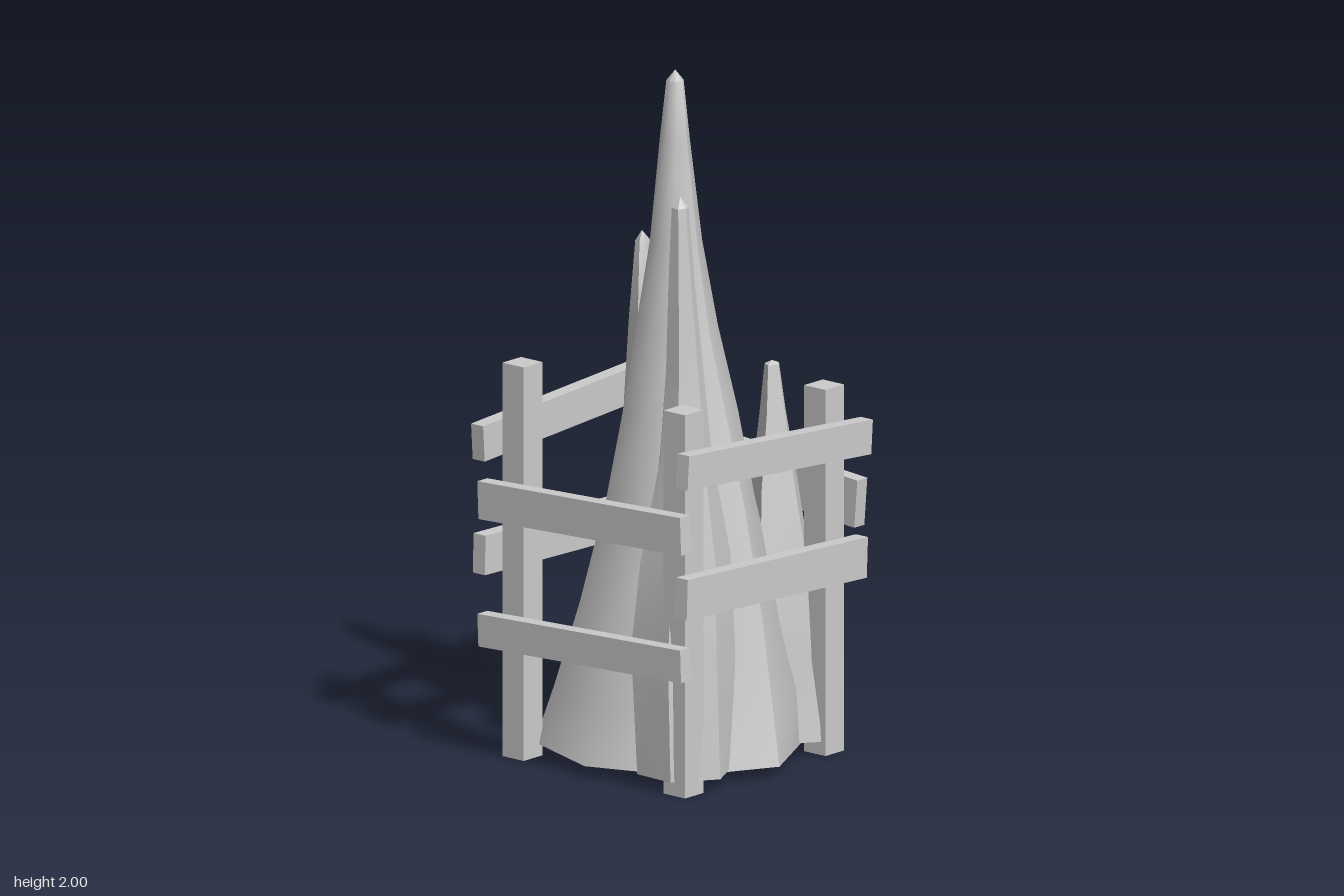
import * as THREE from 'three';
import { toCreasedNormals } from 'three/addons/utils/BufferGeometryUtils.js';

const material = new THREE.MeshStandardMaterial({ color: 0xcccccc });
const shellMaterial = new THREE.MeshStandardMaterial({ color: 0xcccccc, side: THREE.DoubleSide });

// Irregular hollow spire, open below, lofted through rings [y, centreX, centreZ, radius].
// lobes scales the radius of each side, starting at the front and turning to +x;
// jitter adds small seeded unevenness. The last ring closes the tip.
function spire(name, rings, lobes, jitter, seed, crease) {
  const random = () => (seed = (seed * 16807) % 2147483647) / 2147483647;
  const sides = lobes.length;
  const positions = [], index = [];
  for (const [y, cx, cz, r] of rings) {
    lobes.forEach((lobe, j) => {
      const a = ((j + (random() - 0.5) * jitter * 2) / sides) * Math.PI * 2;
      const rr = r * lobe * (1 + (random() - 0.5) * jitter);
      positions.push(cx + Math.sin(a) * rr, y, cz + Math.cos(a) * rr);
    });
  }
  for (let i = 0; i < rings.length - 1; i++) {
    for (let j = 0; j < sides; j++) {
      const a = i * sides + j, b = i * sides + ((j + 1) % sides);
      index.push(a, b, b + sides);
      if (i < rings.length - 2) index.push(a, b + sides, a + sides);
    }
  }
  const geometry = new THREE.BufferGeometry();
  geometry.setAttribute('position', new THREE.Float32BufferAttribute(positions, 3));
  geometry.setIndex(index);
  const mesh = new THREE.Mesh(toCreasedNormals(geometry, crease), shellMaterial);
  mesh.name = name;
  return mesh;
}

function box(name, size, position) {
  const mesh = new THREE.Mesh(new THREE.BoxGeometry(...size), material);
  mesh.name = name;
  mesh.position.set(...position);
  return mesh;
}

export function createModel() {
  const model = new THREE.Group();

  // Tall central spire with a flared foot
  model.add(spire('mainSpire', [
    [0.035, 0, -0.01, 0.388], [0.2, 0, 0, 0.35], [0.45, 0, 0.01, 0.285], [0.75, 0, 0.02, 0.212],
    [1.0, 0, 0.01, 0.165], [1.25, 0, 0, 0.117], [1.5, -0.005, 0, 0.075],
    [1.8, -0.01, 0, 0.043], [1.97, -0.01, 0, 0.025], [2.0, -0.01, 0, 0],
  ], [1.05, 0.97, 1.07, 1.01, 0.93, 1.01, 0.97, 0.97], 0.05, 11, 0.8));

  // Three smaller spires growing round it
  model.add(spire('frontSpire', [
    [0.04, -0.225, 0.225, 0.15], [0.4, -0.218, 0.215, 0.147],
    [0.65, -0.21, 0.205, 0.13], [0.95, -0.198, 0.2, 0.077], [1.2, -0.197, 0.195, 0.053],
    [1.45, -0.2, 0.19, 0.04], [1.67, -0.2, 0.185, 0.024], [1.7, -0.2, 0.185, 0],
  ], [0.95, 1.05, 0.95, 1.05, 1, 1.04], 0.1, 29, 0.5));
  model.add(spire('backSpire', [
    [0.19, 0.19, -0.245, 0.125], [0.5, 0.182, -0.24, 0.118],
    [0.75, 0.166, -0.25, 0.082], [0.98, 0.157, -0.262, 0.057], [1.2, 0.15, -0.265, 0.037],
    [1.42, 0.15, -0.265, 0.02], [1.45, 0.15, -0.265, 0],
  ], [0.92, 1.18, 0.92, 0.98, 1.02], 0.12, 47, 0.5));
  model.add(spire('sideSpire', [
    [0.04, 0.265, 0.175, 0.142], [0.3, 0.255, 0.17, 0.124], [0.52, 0.25, 0.16, 0.115],
    [0.75, 0.253, 0.145, 0.077], [0.98, 0.255, 0.135, 0.043],
    [1.11, 0.255, 0.13, 0.024], [1.12, 0.255, 0.13, 0],
  ], [1, 0.98, 1, 0.88, 1.16], 0.1, 83, 0.5));

  // Corner posts: x, z, height
  const posts = [[0.29, 0.295, 1.07], [-0.31, 0.295, 1.12], [-0.31, -0.31, 1.15], [0.29, -0.31, 1.11]];
  for (const [x, z, h] of posts) model.add(box('post', [0.08, h, 0.08], [x, h / 2, z]));

  // Rails along x: start x, end x, z, height at each end, depth
  const crossRails = [
    ['frontRail', -0.385, 0.4, 0.356, 0.965, 0.91, 0.1],
    ['frontRail', -0.39, 0.38, 0.356, 0.595, 0.562, 0.118],
    ['backRail', -0.42, 0.345, -0.38, 0.925, 0.975, 0.105],
    ['backRail', -0.42, 0.35, -0.375, 0.6, 0.585, 0.115],
  ];
  for (const [name, x0, x1, z, y0, y1, h] of crossRails) {
    const rail = box(name, [Math.hypot(x1 - x0, y1 - y0), h, 0.045], [(x0 + x1) / 2, (y0 + y1) / 2, z]);
    rail.rotation.z = Math.atan2(y1 - y0, x1 - x0);
    model.add(rail);
  }

  // Rails along z: start z, end z, x, height at each end, depth
  const sideRails = [
    ['leftRail', -0.385, 0.38, 0.35, 0.788, 0.728, 0.14],
    ['rightRail', -0.385, 0.375, -0.393, 0.755, 0.785, 0.11],
    ['rightRail', -0.385, 0.375, -0.393, 0.375, 0.405, 0.095],
  ];
  for (const [name, z0, z1, x, y0, y1, h] of sideRails) {
    const rail = box(name, [0.043, h, Math.hypot(z1 - z0, y1 - y0)], [x, (y0 + y1) / 2, (z0 + z1) / 2]);
    rail.rotation.x = -Math.atan2(y1 - y0, z1 - z0);
    model.add(rail);
  }
  return model;
}
